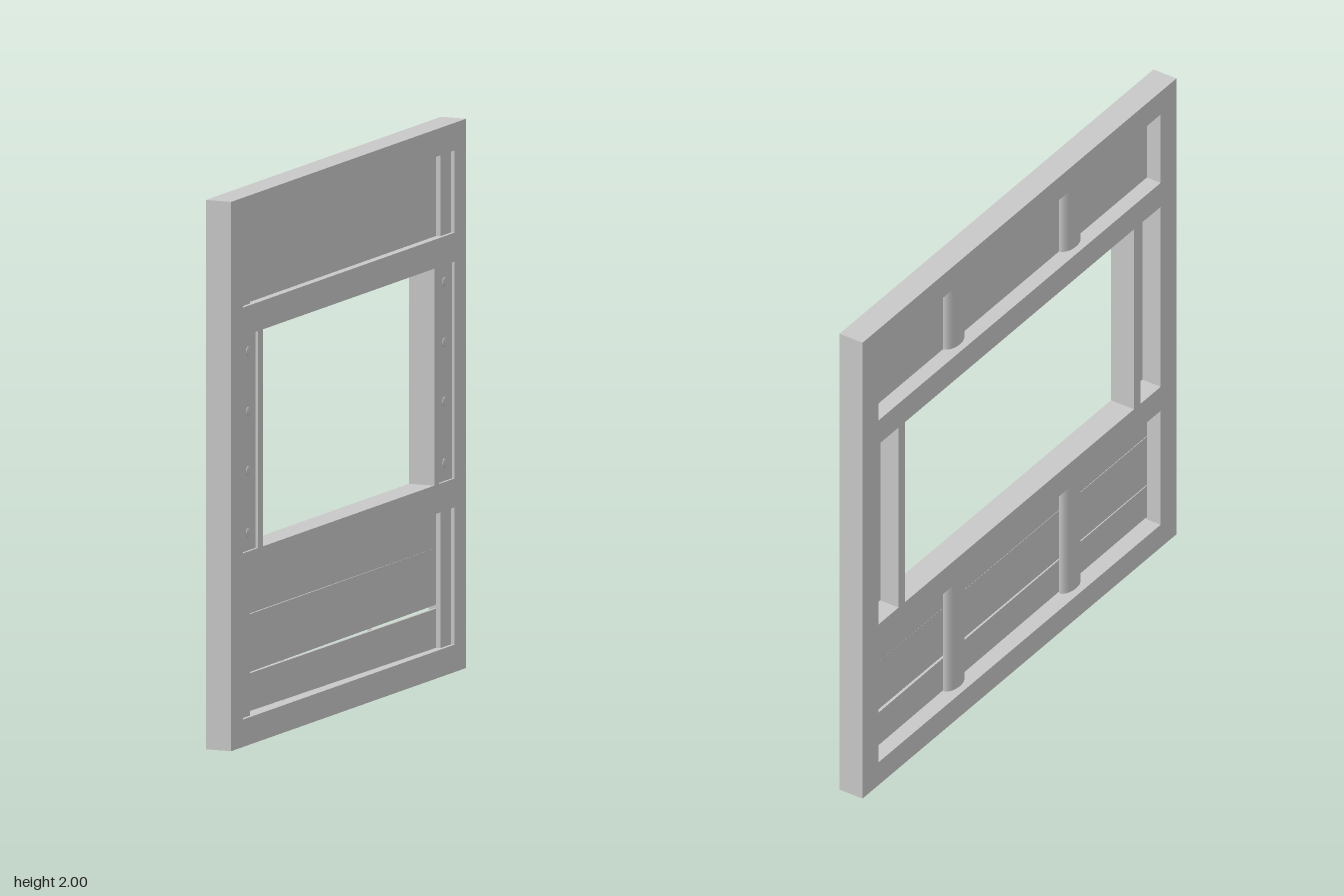
import * as THREE from 'three';

export function createModel() {
  const root = new THREE.Group();
  root.name = 'windowWallPanel';
  const grey = new THREE.MeshStandardMaterial({ color: 0xc8c8c8 });
  grey.name = 'plain grey';

  const add = (name, geometry) => {
    const mesh = new THREE.Mesh(geometry, grey);
    mesh.name = name;
    root.add(mesh);
    return mesh;
  };
  const box = (name, x0, x1, y0, y1, z0, z1) => {
    const mesh = add(name, new THREE.BoxGeometry(x1 - x0, y1 - y0, z1 - z0));
    mesh.position.set((x0 + x1) / 2, (y0 + y1) / 2, (z0 + z1) / 2);
  };
  // Outline corners are [z, y]; the slab runs from x0 to x1
  const path = (points, P) => new P(points.map(([z, y]) => new THREE.Vector2(-z, y)));
  const slab = (shape, x0, x1) => new THREE.ExtrudeGeometry(shape, { depth: x1 - x0, bevelEnabled: false })
    .rotateY(Math.PI / 2).translate(x0, 0, 0);
  const rect = (z0, z1, y0, y1) => [[z1, y0], [z0, y0], [z0, y1], [z1, y1]];

  // Frame with panel openings, window and two side pockets
  const outline = path(rect(-1, 1, 0, 2), THREE.Shape);
  outline.holes = [
    rect(-0.9, 0.9, 0.1, 0.6),
    rect(-0.9, 0.9, 1.6, 1.9),
    rect(-0.73, 0.73, 0.705, 1.495),
    rect(0.77, 0.9, 0.705, 1.495),
    rect(-0.9, -0.77, 0.705, 1.495),
  ].map((r) => path(r, THREE.Path));
  add('frame', slab(outline, -0.05, 0.05));

  // Slightly uneven boards: bottom and top heights at z = 0.9, then at z = -0.9
  const boards = [
    [0.111, 0.248, 0.1, 0.243],
    [0.252, 0.463, 0.258, 0.465],
    [0.466, 0.6, 0.465, 0.6],
    [1.6, 1.89, 1.6, 1.9],
  ];
  boards.forEach(([b0, t0, b1, t1], i) => {
    const shape = path([[0.9, b0], [0.9, t0], [-0.9, t1], [-0.9, b1]], THREE.Shape);
    add('board' + (i + 1), slab(shape, 0.01, 0.02));
  });

  // Rounded rear straps and flat front end battens in both panel openings
  for (const [name, y0, y1] of [['lower', 0.1, 0.6], ['upper', 1.6, 1.9]]) {
    for (const z of [0.4, -0.34]) {
      const strap = add(name + 'Strap',
        new THREE.CylinderGeometry(0.06, 0.06, y1 - y0, 20, 1, false, Math.PI, Math.PI));
      strap.scale.x = 0.55;
      strap.position.set(0.01, (y0 + y1) / 2, z);
    }
    box(name + 'BattenFront', 0.02, 0.036, y0, y1, 0.81, 0.9);
    box(name + 'BattenBack', 0.02, 0.036, y0, y1, -0.9, -0.81);
  }

  // Riveted cover plates beside the window
  for (const side of [1, -1]) {
    box('coverPlate', 0.03, 0.04, 0.705, 1.495, side * 0.835 - 0.065, side * 0.835 + 0.065);
    for (const y of [0.77, 0.995, 1.21, 1.43]) {
      const rivet = add('rivet', new THREE.SphereGeometry(0.018, 14, 6, 0, Math.PI * 2, 0, Math.PI / 2));
      rivet.rotation.z = -Math.PI / 2;
      rivet.scale.y = 0.3;
      rivet.position.set(0.04, y, side * 0.835);
    }
  }
  return root;
}
